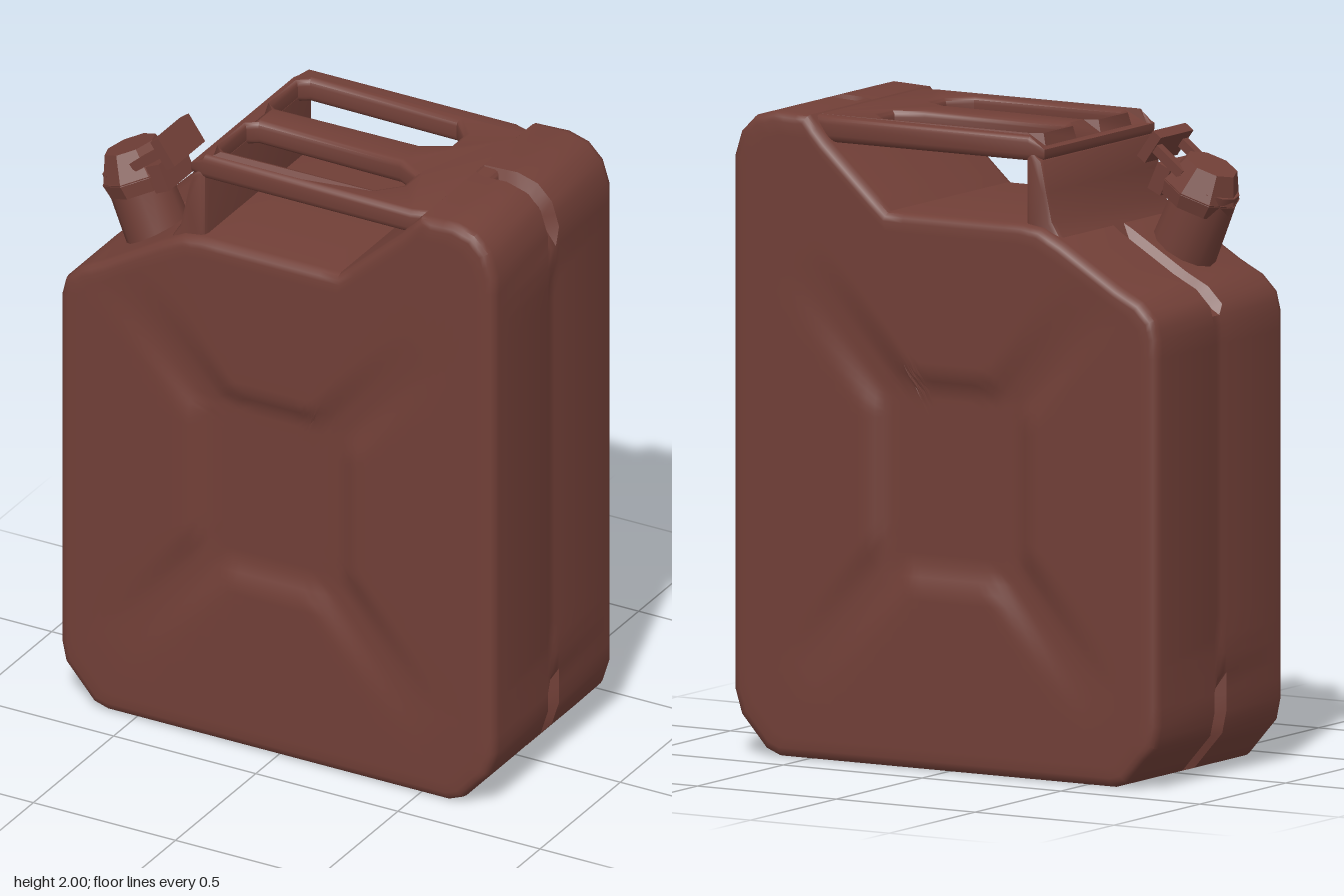
import * as THREE from 'three';
import { toCreasedNormals } from 'three/addons/utils/BufferGeometryUtils.js';

const paint = new THREE.MeshStandardMaterial({ color: 0x713f37 });
paint.name = 'red brown paint';

function add(parent, name, geometry, x = 0, y = 0, z = 0) {
  const mesh = new THREE.Mesh(geometry, paint);
  mesh.name = name;
  mesh.position.set(x, y, z);
  parent.add(mesh);
  return mesh;
}

const smooth = THREE.MathUtils.smoothstep;

// Side profile of the can, counter-clockwise, split into short steps
function bodyOutline() {
  const corners = [
    [-0.765, 0.2], [-0.75, 0.13], [-0.65, 0.015], [-0.6, 0], [0.6, 0], [0.65, 0.02], [0.74, 0.12],
    [0.765, 0.2], [0.765, 1.85], [0.74, 1.93], [0.69, 1.98], [0.62, 2], [0.5, 1.995], [0.43, 1.92],
    [0.21, 1.72], [-0.27, 1.72], [-0.34, 1.71], [-0.42, 1.67], [-0.62, 1.55], [-0.7, 1.51],
    [-0.75, 1.46], [-0.765, 1.4],
  ].map(([x, y]) => new THREE.Vector2(x, y));
  const points = [];
  corners.forEach((a, i) => {
    const b = corners[(i + 1) % corners.length];
    const steps = Math.ceil(a.distanceTo(b) / 0.06);
    for (let k = 0; k < steps; k++) points.push(a.clone().lerp(b, k / steps));
  });
  return points;
}

// Depth of the seam groove: deep at the corners, faint along the sides
function seamDepth(x, y) {
  if (x > 0.5 && y > 1.84) return 0.04;
  if (x < -0.4 && y > 1.45) return 0.03;
  if (Math.abs(x) > 0.63 && y < 0.27) return 0.035;
  return Math.abs(x) > 0.75 && y > 0.4 && y < 1.7 ? 0.006 : 0;
}

// Pressed relief on the large faces: a central panel with four diagonal channels
function relief(x, y) {
  const px = Math.abs(x + 0.02), py = Math.abs(y - 0.9);
  const rect = Math.hypot(Math.max(px - 0.23, 0), Math.max(py - 0.27, 0));
  const t = THREE.MathUtils.clamp(((px - 0.2) * 0.35 + (py - 0.25) * 0.4) / (0.35 ** 2 + 0.4 ** 2), 0, 1);
  const channel = Math.hypot(px - 0.2 - 0.35 * t, py - 0.25 - 0.4 * t);
  const panel = 1 - smooth(rect, 0, 0.07);
  const arm = (1 - smooth(channel, 0.02, 0.12)) * (1 - t);
  return 0.024 * Math.max(panel, arm);
}

function bodyGeometry() {
  const outline = bodyOutline(), n = outline.length;
  const normals = outline.map((p, i) => {
    const a = outline[(i + n - 1) % n], b = outline[(i + 1) % n];
    return new THREE.Vector2(b.y - a.y, a.x - b.x).normalize();
  });
  const inset = (d) => outline.map((p, i) => p.clone().addScaledVector(normals[i], -d));
  const edge = inset(0.03);
  const half = [];
  // Front face, from its middle outwards
  const rings = 26;
  for (let r = 0; r <= rings; r++) {
    const s = r / rings;
    half.push(edge.map((p) => {
      const x = p.x * s, y = 0.95 + (p.y - 0.95) * s;
      return [x, y, 0.372 - relief(x, y)];
    }));
  }
  // Rounded rim, then the side up to the seam
  for (const [d, z] of [[0.015, 0.368], [0.004, 0.357], [0, 0.338], [0, 0.035]]) {
    half.push(inset(d).map((p) => [p.x, p.y, z]));
  }
  half.push(outline.map((p, i) => {
    const d = seamDepth(p.x, p.y);
    return [p.x - normals[i].x * d, p.y - normals[i].y * d, 0.015];
  }));
  const back = half.map((loop) => loop.map(([x, y, z]) => [x, y, -z])).reverse();
  const loops = [...half, ...back];

  const index = [];
  for (let r = 0; r < loops.length - 1; r++) {
    for (let j = 0; j < n; j++) {
      const k = (j + 1) % n;
      const a = r * n + j, b = a + n, c = (r + 1) * n + k, d = r * n + k;
      if (r < loops.length - 2) index.push(a, b, c);
      if (r > 0) index.push(a, c, d);
    }
  }
  const geometry = new THREE.BufferGeometry();
  geometry.setAttribute('position', new THREE.Float32BufferAttribute(loops.flat(2), 3));
  geometry.setIndex(index);
  return toCreasedNormals(geometry, 0.7);
}

const toVectors = (pairs) => pairs.map(([x, y]) => new THREE.Vector2(x, y));

// Plate with two long slots, leaving three carrying bars
function handleGeometry() {
  const shape = new THREE.Shape(toVectors([
    [-0.33, -0.32], [-0.28, -0.335], [0.45, -0.335], [0.56, -0.3],
    [0.56, 0.3], [0.45, 0.335], [-0.28, 0.335], [-0.33, 0.32],
  ]));
  for (const side of [-1, 1]) {
    shape.holes.push(new THREE.Path(toVectors([
      [-0.27, 0.08], [-0.24, 0.058], [0.26, 0.065], [0.34, 0.11],
      [0.34, 0.19], [0.28, 0.255], [-0.24, 0.262], [-0.27, 0.24],
    ].map(([x, y]) => [x, y * side]))));
  }
  const geometry = new THREE.ExtrudeGeometry(shape, {
    depth: 0.035, bevelThickness: 0.022, bevelSize: 0.02, bevelOffset: -0.02, bevelSegments: 3,
  });
  geometry.rotateX(-Math.PI / 2).translate(0, 1.934, 0);
  // Slope the end down to the upright
  const pos = geometry.attributes.position;
  for (let i = 0; i < pos.count; i++) {
    if (pos.getX(i) < -0.285) pos.setY(i, Math.min(pos.getY(i), 1.95));
  }
  return toCreasedNormals(geometry, 0.7);
}

// Upright that carries the bars at the spout end
function uprightGeometry() {
  const shape = new THREE.Shape(toVectors([
    [-0.43, 1.63], [-0.27, 1.63], [-0.27, 1.93], [-0.29, 1.945],
    [-0.325, 1.915], [-0.345, 1.82], [-0.365, 1.73], [-0.39, 1.69],
  ]));
  const geometry = new THREE.ExtrudeGeometry(shape, {
    depth: 0.63, bevelThickness: 0.02, bevelSize: 0.015, bevelOffset: -0.015, bevelSegments: 2,
  });
  geometry.translate(0, 0, -0.315);
  return toCreasedNormals(geometry, 0.7);
}

// Tilted neck with its cap and locking lever
function createSpout() {
  const spout = new THREE.Group();
  spout.name = 'spout';
  spout.position.set(-0.53, 1.57, 0.17);
  spout.rotation.z = 0.42;
  const facet = (g) => toCreasedNormals(g, 0.7);
  add(spout, 'neck', facet(new THREE.CylinderGeometry(0.098, 0.108, 0.3, 12)), 0.012, 0.1);
  add(spout, 'cap', facet(new THREE.CylinderGeometry(0.085, 0.125, 0.09, 8)), 0.03, 0.265);
  add(spout, 'capCollar', facet(new THREE.CylinderGeometry(0.125, 0.115, 0.05, 8)), 0.03, 0.2);
  add(spout, 'hinge', new THREE.BoxGeometry(0.05, 0.09, 0.16), 0.14, 0.21);
  for (const side of [-1, 1]) {
    const arm = add(spout, 'leverArm', new THREE.BoxGeometry(0.14, 0.03, 0.03), 0.14, 0.28, side * 0.075);
    arm.rotation.z = 0.25;
  }
  const bar = add(spout, 'leverBar', new THREE.BoxGeometry(0.035, 0.1, 0.19), 0.205, 0.29);
  bar.rotation.z = 0.2;
  return spout;
}

export function createModel() {
  const model = new THREE.Group();
  model.name = 'fuelCan';
  add(model, 'body', bodyGeometry());
  add(model, 'handleBars', handleGeometry());
  add(model, 'handleUpright', uprightGeometry());
  model.add(createSpout());
  return model;
}
